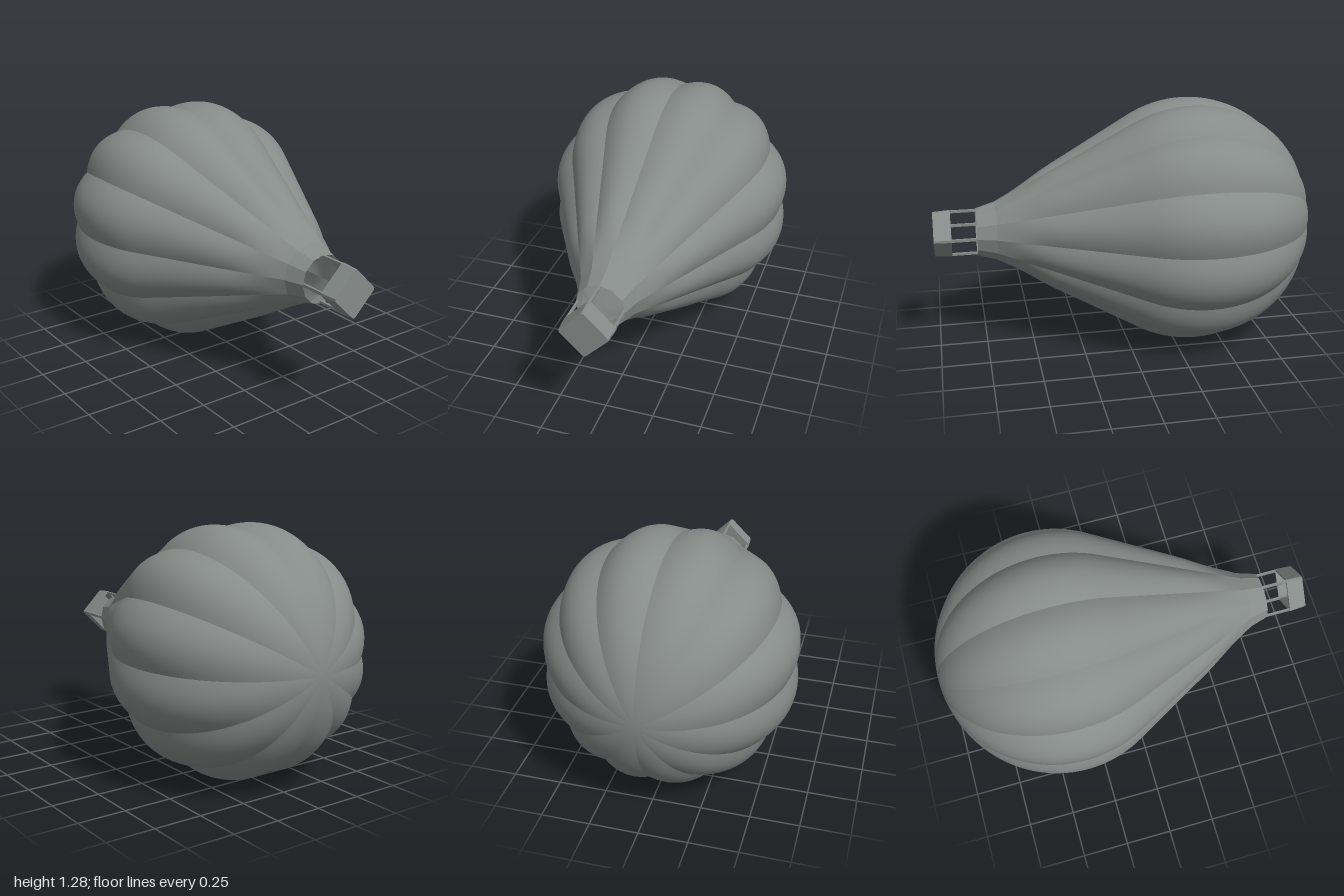
import * as THREE from 'three';

const GORES = 12;
const HALF = Math.PI / GORES;
const NECK_Z = 0.68, MOUTH_Z = 0.78;
const NECK_R = 0.155, MOUTH_R = 0.125;
const COLOR = 0x868c8a;

const material = new THREE.MeshStandardMaterial({ color: COLOR, side: THREE.DoubleSide });
const flatMaterial = new THREE.MeshStandardMaterial({ color: COLOR, side: THREE.DoubleSide, flatShading: true });

// Skins a grid of points: rows run along z, columns run counter-clockwise.
function skin(rows) {
  const cols = rows[0].length, index = [];
  for (let i = 0; i < rows.length - 1; i++) {
    for (let j = 0; j < cols - 1; j++) {
      const a = i * cols + j, b = a + 1, c = a + cols, d = c + 1;
      index.push(a, b, c, b, d, c);
    }
  }
  const geometry = new THREE.BufferGeometry().setFromPoints(rows.flat());
  geometry.setIndex(index);
  geometry.computeVertexNormals();
  return geometry;
}

// Seam profile [z, radius]: round crown, then a straight cone to the neck.
function seamProfile() {
  const points = [], crown = 32, cone = 20;
  for (let i = 0; i <= crown; i++) {
    const t = (i / crown) * (Math.PI * 2 / 3);
    points.push([-0.36 - 0.64 * Math.cos(t), 0.615 * Math.sin(t)]);
  }
  const [z0, r0] = points[crown];
  for (let i = 1; i <= cone; i++) {
    const t = i / cone;
    points.push([THREE.MathUtils.lerp(z0, NECK_Z, t), THREE.MathUtils.lerp(r0, NECK_R, t)]);
  }
  return points;
}

// One bulging panel between two seams; the bulge dies out at the neck.
function goreGeometry() {
  const cols = 16;
  return skin(seamProfile().map(([z, r]) => {
    const bulge = 0.096 * r * THREE.MathUtils.smoothstep(NECK_Z - z, 0, 0.3);
    return Array.from({ length: cols + 1 }, (_, j) => {
      const t = (j / cols) * 2 - 1;
      return new THREE.Vector3(r * Math.cos(HALF) + bulge * (1 - t * t), t * r * Math.sin(HALF), z);
    });
  }));
}

// Square ring standing on its corner, with the corners slightly cut off.
function basketRing(radius, z) {
  const ring = [], cut = 0.05;
  for (let k = 0; k < 4; k++) {
    for (const side of [-1, 1]) {
      const a = k * Math.PI / 2 + side * cut;
      ring.push(new THREE.Vector3(radius * Math.cos(a), radius * Math.sin(a), z));
    }
  }
  ring.push(ring[0].clone());
  return ring;
}

export function createModel() {
  const model = new THREE.Group();
  model.name = 'hotAirBalloon';
  model.position.y = 0.64;

  // Envelope
  const envelope = new THREE.Group();
  envelope.name = 'envelope';
  const gore = goreGeometry();
  for (let k = 0; k < GORES; k++) {
    const panel = new THREE.Mesh(gore, material);
    panel.name = 'gore' + (k + 1);
    panel.rotation.z = HALF * (2 * k + 1);
    envelope.add(panel);
  }
  model.add(envelope);

  // Faceted skirt around the open mouth
  const skirtGeometry = new THREE.CylinderGeometry(MOUTH_R, NECK_R, MOUTH_Z - NECK_Z, GORES, 1, true);
  skirtGeometry.rotateX(Math.PI / 2);
  const skirt = new THREE.Mesh(skirtGeometry, flatMaterial);
  skirt.name = 'skirt';
  skirt.position.z = (NECK_Z + MOUTH_Z) / 2;
  model.add(skirt);

  // Hollow basket: inner floor, inner wall, rim, outer wall, underside
  const basket = new THREE.Mesh(skin([
    basketRing(0, 0.985),
    basketRing(0.105, 0.985),
    basketRing(0.113, 0.91),
    basketRing(0.127, 0.91),
    basketRing(0.121, 1),
    basketRing(0, 1),
  ]), flatMaterial);
  basket.name = 'basket';
  model.add(basket);

  // Corner posts between basket and mouth
  const postGeometry = new THREE.BoxGeometry(0.012, 0.014, 0.15);
  for (let k = 0; k < 4; k++) {
    const a = k * Math.PI / 2;
    const post = new THREE.Mesh(postGeometry, flatMaterial);
    post.name = 'post' + (k + 1);
    post.position.set(0.118 * Math.cos(a), 0.118 * Math.sin(a), 0.845);
    post.rotation.z = a;
    model.add(post);
  }

  const root = new THREE.Group();
  root.add(model);
  return root;
}
